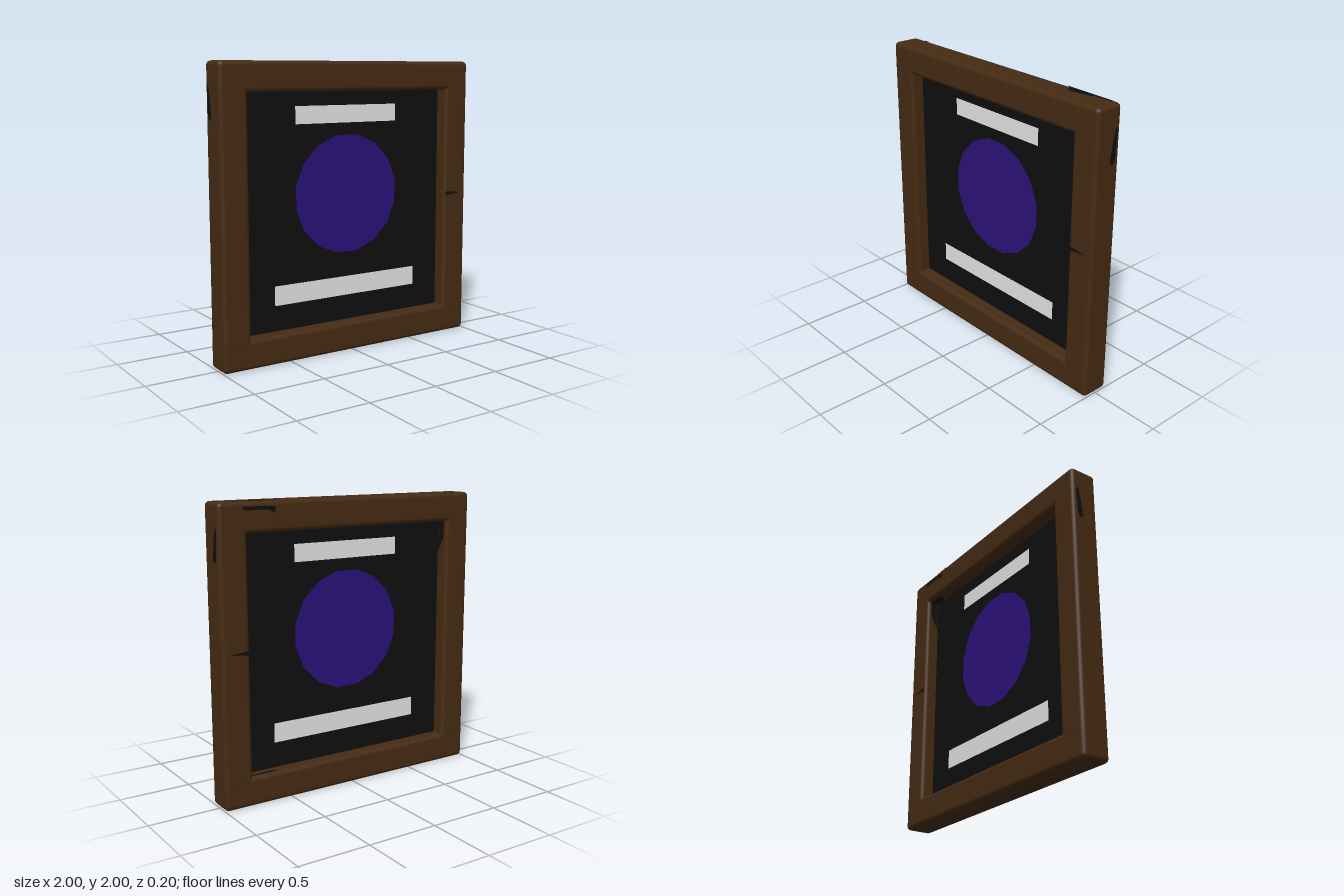
import * as THREE from 'three';
import { RoundedBoxGeometry } from 'three/addons/geometries/RoundedBoxGeometry.js';

export function createModel() {
  const model = new THREE.Group();
  model.name = 'framedPanel';
  const mat = (name, color, side = THREE.FrontSide) => {
    const m = new THREE.MeshStandardMaterial({ color, side });
    m.name = name;
    return m;
  };
  const wood = mat('darkWood', 0x462b13);
  const black = mat('black', 0x0f0f0f, THREE.DoubleSide);
  const white = mat('paleGrey', 0xe6e6e6);
  const purple = mat('purple', 0x2c127b);

  const add = (name, geometry, material, x = 0, y = 0, z = 0) => {
    const mesh = new THREE.Mesh(geometry, material);
    mesh.name = name;
    mesh.position.set(x, y, z);
    model.add(mesh);
    return mesh;
  };

  // Rails run full width; stiles are let slightly into them
  const rail = new RoundedBoxGeometry(2, 0.2, 0.2, 4, 0.03);
  const stile = new RoundedBoxGeometry(0.2, 1.71, 0.2, 4, 0.03);
  add('topRail', rail, wood, 0, 1.9);
  add('bottomRail', rail, wood, 0, 0.1);
  add('leftStile', stile, wood, 0.9, 1.005);
  add('rightStile', stile, wood, -0.9, 1.005);

  // Thin panel held in the middle of the frame
  add('panel', new THREE.BoxGeometry(1.64, 1.64, 0.008), black, 0, 1);

  // Painted disc and bars, repeated on both faces
  for (const s of [1, -1]) {
    const side = s > 0 ? 'front' : 'back';
    const disc = add(side + 'Disc', new THREE.CircleGeometry(0.416, 16, Math.PI / 16), purple, 0.003, 1.093, s * 0.007);
    const upper = add(side + 'UpperBar', new THREE.PlaneGeometry(0.82, 0.12), white, 0.003, 1.645, s * 0.007);
    const lower = add(side + 'LowerBar', new THREE.PlaneGeometry(1.16, 0.135), white, 0.005, 0.443, s * 0.007);
    if (s < 0) for (const m of [disc, upper, lower]) m.rotation.y = Math.PI;
  }

  // Black wear marks: outlines drawn on one face of the frame.
  // axis is the face normal, at is its offset; points are (x,y), (z,y) or (x,z)
  const mark = (name, axis, at, points) => {
    const g = new THREE.ShapeGeometry(new THREE.Shape(points.map(([a, b]) => new THREE.Vector2(a, b))));
    const p = g.attributes.position;
    for (let i = 0; i < p.count; i++) {
      const a = p.getX(i), b = p.getY(i);
      if (axis === 'x') p.setXYZ(i, at, b, a);
      else if (axis === 'y') p.setXYZ(i, a, at, b);
      else p.setXYZ(i, a, b, at);
    }
    g.computeVertexNormals();
    add(name, g, black);
  };
  const crack = [[0.81, 1.025], [0.85, 1.035], [0.95, 1.044], [0.88, 1.052], [0.83, 1.06], [0.81, 1.055]];
  mark('frontCrack', 'z', 0.1015, crack);
  mark('backCrack', 'z', -0.1015, crack);
  const sideStain = [[-0.015, 1.64], [-0.04, 1.62], [-0.06, 1.65], [-0.07, 1.83], [-0.055, 1.86], [-0.035, 1.77]];
  mark('leftSideStain', 'x', 1.0015, sideStain);
  mark('rightSideStain', 'x', -1.0015, sideStain);
  mark('topStain', 'y', 2.0015, [[0.56, -0.088], [0.62, -0.085], [0.95, -0.077], [0.95, -0.06],
    [0.82, -0.055], [0.78, -0.035], [0.65, -0.02], [0.61, -0.04], [0.6, -0.07]]);
  mark('topSpeck', 'y', 2.0015, [[-0.87, -0.082], [-0.83, -0.082], [-0.83, -0.07], [-0.86, -0.073]]);
  mark('backRailStain', 'z', -0.1015, [[0.83, 1.97], [0.6, 1.965], [0.6, 1.92], [0.65, 1.945], [0.83, 1.945]]);
  mark('upperInnerStain', 'y', 1.7985, [[0.8, -0.07], [0.66, -0.06], [0.7, -0.01], [0.8, -0.01]]);
  mark('lowerInnerStain', 'y', 0.2015, [[0.8, -0.07], [0.6, -0.07], [0.62, -0.045], [0.8, -0.05]]);
  const innerStain = [[-0.008, 1.8], [-0.07, 1.8], [-0.065, 1.68], [-0.02, 1.6], [-0.008, 1.56]];
  mark('leftInnerStain', 'x', 0.7985, innerStain);
  mark('rightInnerStain', 'x', -0.7985, innerStain);

  return model;
}
